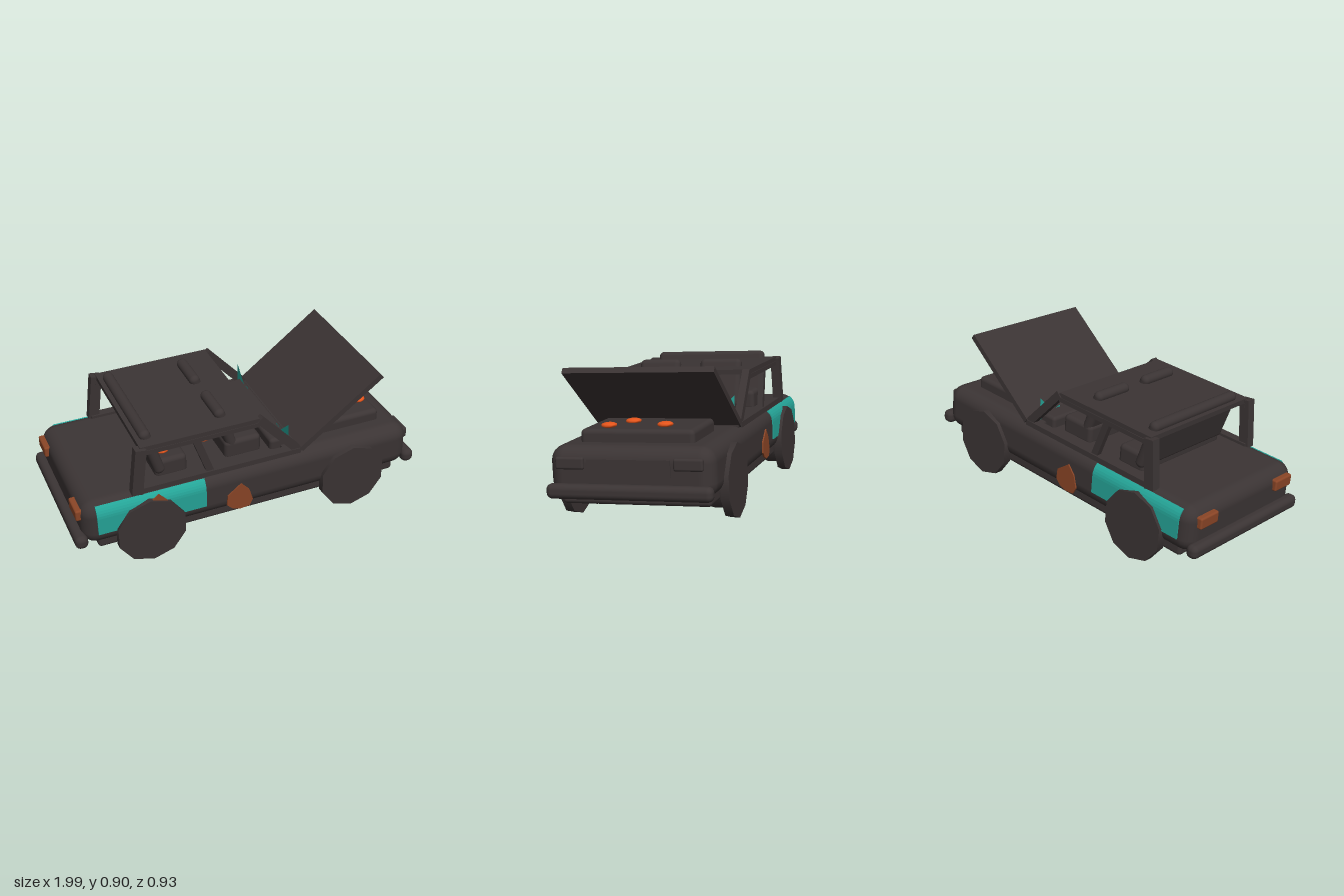
import * as THREE from 'three';
import { RoundedBoxGeometry } from 'three/addons/geometries/RoundedBoxGeometry.js';

function material(name, color) {
  const m = new THREE.MeshStandardMaterial({ color });
  m.name = name;
  return m;
}

export function createModel() {
  const soot = material('charredMetal', 0x3b3434);
  const teal = material('tealPaint', 0x25a598);
  const rust = material('rust', 0x8a4526);
  const ember = material('ember', 0xe8561c);
  const tealGlass = teal.clone();
  tealGlass.name = 'tealGlass';
  tealGlass.side = THREE.DoubleSide;

  const car = new THREE.Group();
  car.name = 'burntCar';

  const add = (name, geometry, mat, x, y, z) => {
    const mesh = new THREE.Mesh(geometry, mat);
    mesh.name = name;
    mesh.position.set(x, y, z);
    car.add(mesh);
    return mesh;
  };
  // Box given by its ranges, rounded when r > 0
  const box = (name, mat, [x0, x1], [y0, y1], [z0, z1], r = 0) => {
    const size = [x1 - x0, y1 - y0, z1 - z0];
    const g = r ? new RoundedBoxGeometry(...size, 3, r) : new THREE.BoxGeometry(...size);
    return add(name, g, mat, (x0 + x1) / 2, (y0 + y1) / 2, (z0 + z1) / 2);
  };
  // Slanted bar between two points in the side plane
  const bar = (name, a, b, thick, width, z, r = 0) => {
    const dx = b[0] - a[0], dy = b[1] - a[1], len = Math.hypot(dx, dy);
    const g = r ? new RoundedBoxGeometry(len, thick, width, 3, r) : new THREE.BoxGeometry(len, thick, width);
    const mesh = add(name, g, soot, (a[0] + b[0]) / 2, (a[1] + b[1]) / 2, z);
    mesh.rotation.z = Math.atan2(dy, dx);
    return mesh;
  };

  // Body and chassis
  box('body', soot, [-0.95, 0.95], [0.22, 0.48], [-0.43, 0.43], 0.08);
  box('chassis', soot, [-0.87, 0.88], [0.175, 0.25], [-0.39, 0.39], 0.02);
  for (const s of [-1, 1]) {
    const x = s * 0.962;
    box(s > 0 ? 'frontBumper' : 'rearBumper', soot, [x - 0.035, x + 0.035], [0.222, 0.298], [-0.43, 0.43], 0.03);
  }

  // Nose and tail details
  box('grille', soot, [0.94, 0.957], [0.335, 0.42], [-0.215, 0.215]);
  for (const s of [-1, 1]) {
    const z = s * 0.306;
    box('headlight', soot, [0.92, 0.965], [0.368, 0.43], [z - 0.075, z + 0.075], 0.012);
    box('tailLight', rust, [-0.972, -0.93], [0.372, 0.436], [z - 0.068, z + 0.068], 0.01);
  }

  // Wheels, with wide inner drums on three of them
  const wheelGeo = new THREE.CylinderGeometry(0.194, 0.194, 0.045, 10);
  const drumGeo = new THREE.CylinderGeometry(0.145, 0.145, 0.1, 10);
  for (const g of [wheelGeo, drumGeo]) g.rotateX(Math.PI / 2);
  for (const sx of [-1, 1]) {
    for (const sz of [-1, 1]) {
      add('wheel', wheelGeo, soot, sx * 0.59, 0.25, sz * 0.43);
      if (sx > 0 || sz < 0) add('wheelDrum', drumGeo, soot, sx * 0.59, 0.25, sz * 0.37);
    }
  }

  // Remaining paint: a thin skin following the rounded rear shoulder
  const skin = new THREE.Shape();
  const arc = (r, i) => [r * Math.cos(i * 0.175), r * Math.sin(i * 0.175)];
  skin.moveTo(0.078, -0.1);
  skin.lineTo(0.086, -0.1);
  for (let i = 0; i <= 5; i++) skin.lineTo(...arc(0.086, i));
  for (let i = 5; i >= 0; i--) skin.lineTo(...arc(0.078, i));
  skin.closePath();
  const skinGeo = new THREE.ExtrudeGeometry(skin, { depth: 0.6, bevelEnabled: false });
  skinGeo.translate(0, 0, -0.3);
  for (const s of [-1, 1]) {
    const panel = add('paintedPanel', skinGeo, teal, -0.575, 0.4, s * 0.35);
    panel.rotation.y = -s * Math.PI / 2;
    if (s > 0) panel.rotation.y = -Math.PI / 2;
    else panel.rotation.y = Math.PI / 2;
  }

  // Rust patches on the flanks
  const patch = new THREE.Shape([[0.01, 0.09], [-0.03, 0.06], [-0.07, 0.03], [-0.075, -0.03], [-0.045, -0.06],
    [0, -0.075], [0.055, -0.07], [0.075, -0.03], [0.055, 0.04]].map(p => new THREE.Vector2(...p)));
  const patchGeo = new THREE.ExtrudeGeometry(patch, { depth: 0.009, bevelEnabled: false });
  patchGeo.translate(0, 0, -0.0045);
  for (const s of [-1, 1]) {
    const p = add('rustPatch', patchGeo, rust, -0.085, 0.3, s * 0.433);
    if (s < 0) p.rotation.y = Math.PI;
  }
  add('archRust', patchGeo, rust, -0.55, 0.375, 0.438);

  // Cabin frame
  box('roof', soot, [-0.61, 0.05], [0.718, 0.745], [-0.39, 0.39]);
  for (const s of [-1, 1]) {
    const z = s * 0.375;
    box('beltRail', soot, [-0.66, 0.29], [0.465, 0.495], [z - 0.025, z + 0.025]);
    box('roofRail', soot, [-0.62, 0.05], [0.695, 0.72], [z - 0.018, z + 0.018]);
    bar('rearPost', [-0.645, 0.47], [-0.61, 0.74], 0.06, 0.05, s * 0.385);
    bar('middlePost', [-0.225, 0.47], [-0.31, 0.72], 0.04, 0.03, z);
    bar('windscreenPost', [0.28, 0.48], [0.05, 0.735], 0.045, 0.04, z);
  }
  box('cowl', soot, [0.2, 0.32], [0.465, 0.495], [-0.39, 0.39]);

  // Seats, whose backs rise through the roof
  box('rearBench', soot, [-0.51, -0.33], [0.46, 0.575], [-0.31, 0.31], 0.025);
  bar('rearBenchBack', [-0.48, 0.5], [-0.565, 0.785], 0.06, 0.66, 0, 0.028);
  for (const s of [-1, 1]) {
    const z = s * 0.18;
    box('frontSeat', soot, [-0.11, 0.1], [0.46, 0.575], [z - 0.12, z + 0.12], 0.025);
    bar('frontSeatBack', [-0.05, 0.5], [-0.14, 0.785], 0.06, 0.24, z, 0.028);
  }
  box('dashboard', soot, [0.14, 0.26], [0.46, 0.54], [-0.33, 0.33], 0.02);

  // Raised bonnet and exposed engine
  bar('bonnet', [0.295, 0.485], [0.765, 0.835], 0.032, 0.8, 0);
  box('engine', soot, [0.45, 0.82], [0.45, 0.545], [-0.3, 0.3], 0.025);

  // Broken windscreen corners
  for (const s of [-1, 1]) {
    const shard = new THREE.Shape([[0.35, 0.5], [0.17, 0.5], [0.2, 0.55], [0.25, 0.535], [0.35, 0.63]]
      .map(([z, y]) => new THREE.Vector2(-s * z, y)));
    const mesh = add('glassShard', new THREE.ShapeGeometry(shard), tealGlass, 0.237, 0, 0);
    mesh.rotation.y = Math.PI / 2;
  }

  // Glowing embers
  const emberGeo = new THREE.IcosahedronGeometry(0.042, 1);
  emberGeo.scale(1, 0.36, 1);
  for (const [x, y, z] of [[0.6, 0.553, 0.09], [0.755, 0.557, 0.165], [0.715, 0.556, -0.12],
    [-0.45, 0.6, 0.24], [-0.21, 0.594, 0.22]]) {
    add('ember', emberGeo, ember, x, y, z);
  }

  // The wreck leans to one side with its nose slightly up
  car.rotation.set(0.061, 0, 0.042);
  car.position.set(0.01, 0, -0.015);
  const model = new THREE.Group();
  model.name = 'wreckedCar';
  model.add(car);
  return model;
}
